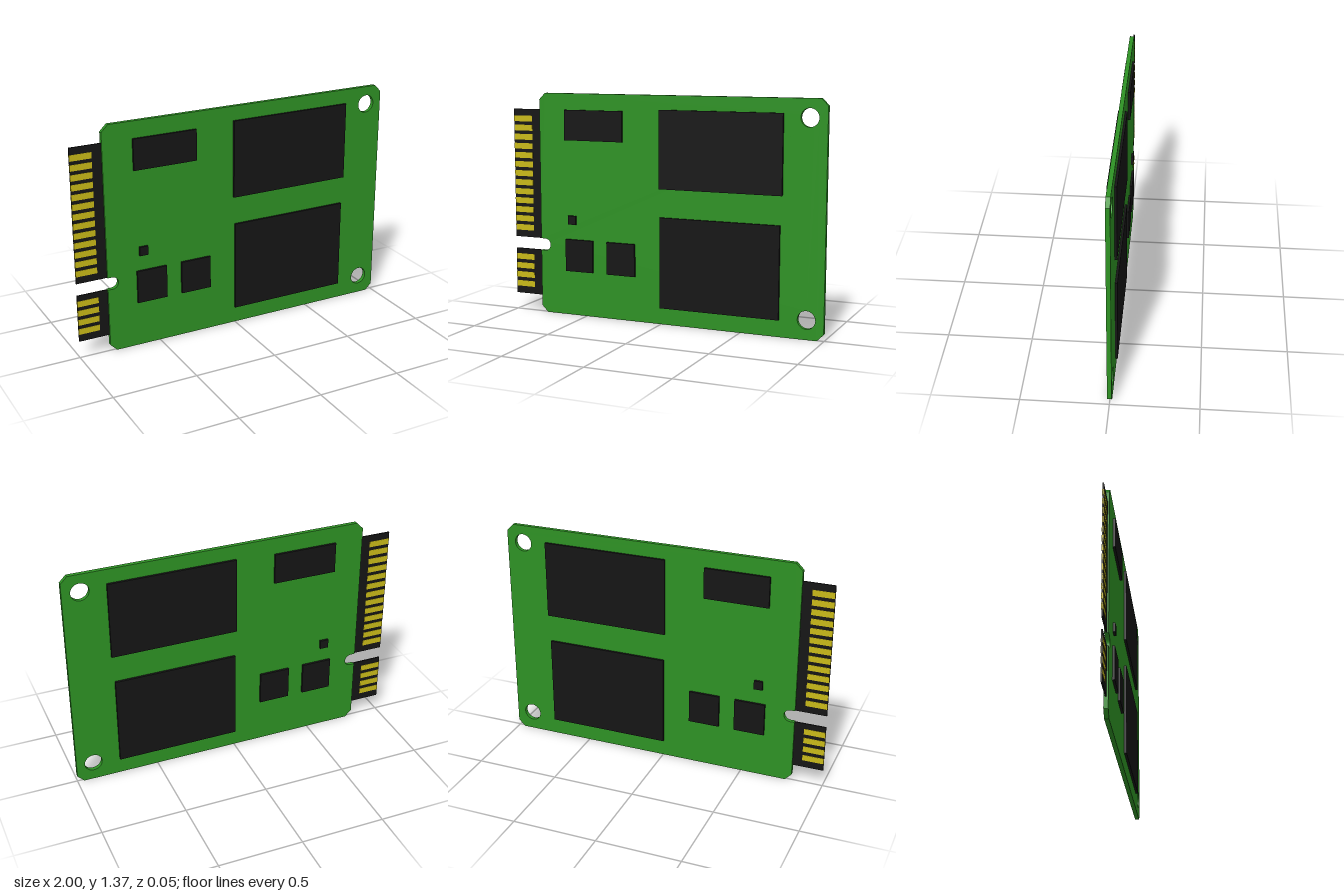
import * as THREE from 'three';

const green = new THREE.MeshStandardMaterial({ color: 0x2e9224 });
const black = new THREE.MeshStandardMaterial({ color: 0x151515 });
const gold = new THREE.MeshStandardMaterial({ color: 0xc9ba18 });

// Box given by its edges in x and y, centred on z = 0
function plate(name, x0, x1, y0, y1, depth, material) {
  const mesh = new THREE.Mesh(new THREE.BoxGeometry(x1 - x0, y1 - y0, depth), material);
  mesh.position.set((x0 + x1) / 2, (y0 + y1) / 2, 0);
  mesh.name = name;
  return mesh;
}

// Board outline: chamfered corners, a rounded key slot on the edge, two mounting holes
function createBoard() {
  const left = -0.815, right = 1, top = 1.365, c = 0.04;
  const slotY = 0.428, slotR = 0.037, slotEnd = -0.75;
  const shape = new THREE.Shape();
  shape.moveTo(left + c, 0);
  shape.lineTo(right - c, 0);
  shape.lineTo(right, c);
  shape.lineTo(right, top - c);
  shape.lineTo(right - c, top);
  shape.lineTo(left + c, top);
  shape.lineTo(left, top - c);
  shape.lineTo(left, slotY + slotR);
  shape.absarc(slotEnd - slotR, slotY, slotR, Math.PI / 2, -Math.PI / 2, true);
  shape.lineTo(left, slotY - slotR);
  shape.lineTo(left, c);
  shape.closePath();
  for (const y of [0.115, 1.258]) {
    const hole = new THREE.Path();
    hole.absarc(0.897, y, 0.053, 0, Math.PI * 2, true);
    shape.holes.push(hole);
  }
  const depth = 0.025;
  const geometry = new THREE.ExtrudeGeometry(shape, { depth, bevelEnabled: false, curveSegments: 20 });
  geometry.translate(0, 0, -depth / 2);
  const board = new THREE.Mesh(geometry, green);
  board.name = 'circuitBoard';
  return board;
}

// Edge connector section with a row of evenly spaced contacts showing on both faces
function createConnector(name, y0, y1, count, firstY, lastY) {
  const group = new THREE.Group();
  group.name = name;
  group.add(plate('connectorTongue', -1, -0.81, y0, y1, 0.008, black));
  for (let i = 0; i < count; i++) {
    const y = THREE.MathUtils.lerp(firstY, lastY, i / (count - 1));
    group.add(plate('contact', -1, -0.872, y - 0.018, y + 0.018, 0.011, gold));
  }
  return group;
}

export function createModel() {
  const model = new THREE.Group();
  model.name = 'expansionCard';
  model.add(createBoard());
  model.add(createConnector('longConnector', 0.465, 1.264, 13, 1.205, 0.525));
  model.add(createConnector('shortConnector', 0.104, 0.391, 4, 0.339, 0.166));

  // Chips stand out equally from both faces: name, x0, x1, y0, y1
  const chips = [
    ['upperMemoryChip', -0.012, 0.747, 0.815, 1.28],
    ['lowerMemoryChip', -0.004, 0.736, 0.1, 0.646],
    ['controllerChip', -0.637, -0.25, 1.082, 1.266],
    ['leftSquareChip', -0.637, -0.452, 0.275, 0.473],
    ['rightSquareChip', -0.357, -0.17, 0.275, 0.473],
    ['tinyChip', -0.618, -0.566, 0.566, 0.62],
  ];
  for (const [name, x0, x1, y0, y1] of chips) {
    model.add(plate(name, x0, x1, y0, y1, 0.053, black));
  }
  return model;
}
